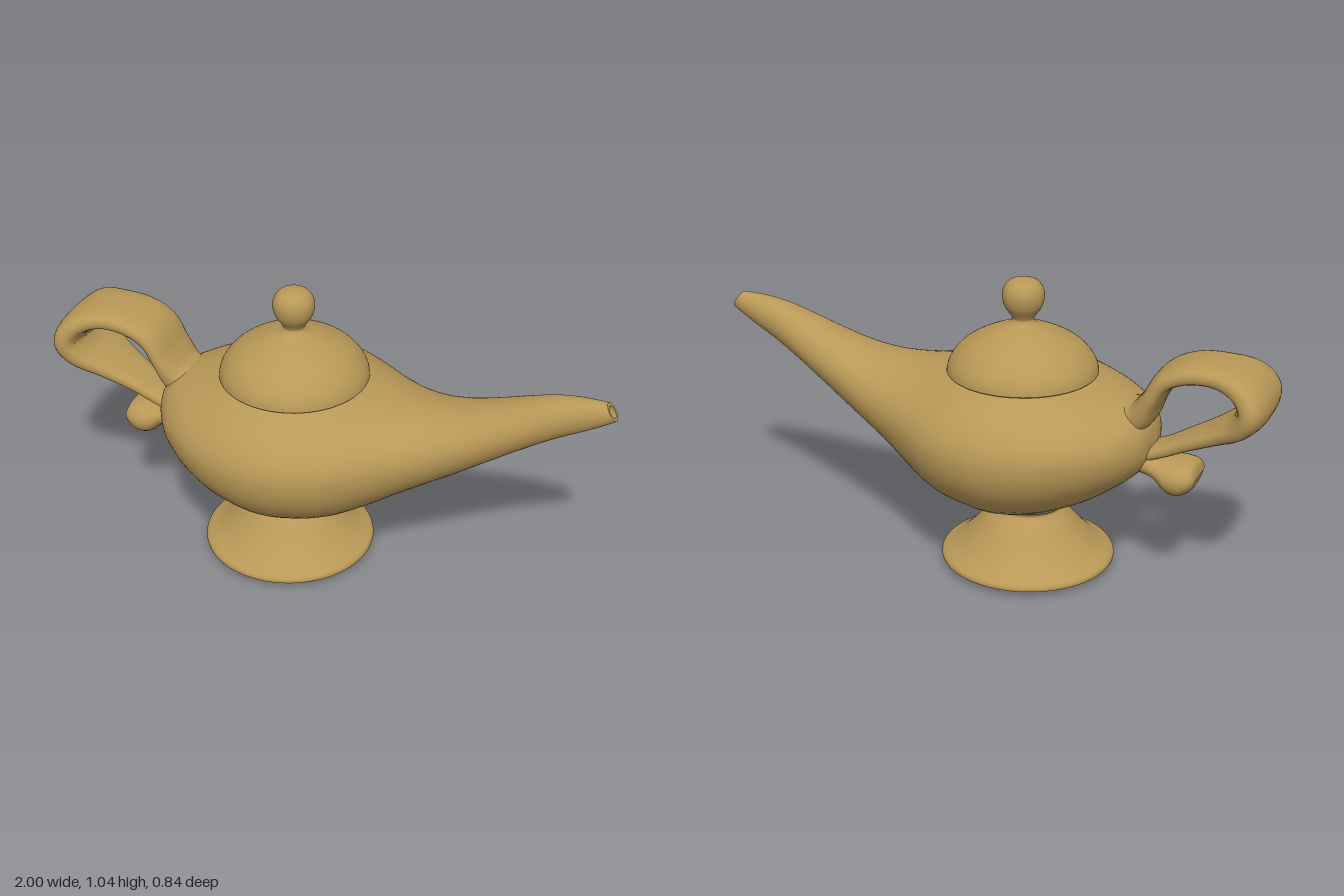
import * as THREE from 'three';

const brass = new THREE.MeshStandardMaterial({ color: 0xb99857 });
brass.name = 'brass';

// Smoothly resample rows of numbers, one spline per column
function resample(rows, steps) {
  const columns = rows[0].map((_, c) =>
    new THREE.SplineCurve(rows.map((r, i) => new THREE.Vector2(i, r[c]))));
  return Array.from({ length: steps + 1 }, (_, i) =>
    columns.map((curve) => curve.getPoint(i / steps).y));
}

// Skin a list of closed rings (equal point counts)
function loft(rings) {
  const n = rings[0].length;
  const index = [];
  for (let i = 0; i < rings.length - 1; i++) {
    for (let j = 0; j < n; j++) {
      const k = (j + 1) % n;
      const a = i * n + j, b = i * n + k, c = a + n, d = b + n;
      index.push(a, c, b, b, c, d);
    }
  }
  const geometry = new THREE.BufferGeometry().setFromPoints(rings.flat());
  geometry.setIndex(index);
  geometry.computeVertexNormals();
  return geometry;
}

function ring(n, pointAt) {
  return Array.from({ length: n }, (_, j) => {
    const a = (j / n) * Math.PI * 2;
    return pointAt(Math.cos(a), Math.sin(a));
  });
}

// Body section: x, bottom, widest height, top, half width, end slant
function bodyRing([x, bottom, mid, top, w, slant], scale = 1) {
  return ring(56, (c, s) => {
    const dy = scale * s * (s > 0 ? top - mid : mid - bottom);
    return new THREE.Vector3(x - slant * dy, mid + dy, scale * w * c);
  });
}

function latheFrom(points, detail) {
  const curve = new THREE.SplineCurve(points.map(([r, y]) => new THREE.Vector2(r, y)));
  const smooth = curve.getPoints(detail).map((p) => new THREE.Vector2(Math.max(p.x, 0), p.y));
  return new THREE.LatheGeometry(smooth, 64);
}

export function createModel() {
  const lamp = new THREE.Group();
  lamp.name = 'oilLamp';
  const add = (name, geometry, x = 0, y = 0) => {
    const mesh = new THREE.Mesh(geometry, brass);
    mesh.name = name;
    mesh.position.set(x, y, 0);
    lamp.add(mesh);
  };

  // Bowl flowing into the long spout
  const sections = [
    [-0.605, 0.529, 0.53, 0.531, 0.001, 0],
    [-0.59, 0.46, 0.53, 0.60, 0.10, 0],
    [-0.555, 0.415, 0.53, 0.64, 0.175, 0],
    [-0.50, 0.37, 0.53, 0.665, 0.25, 0],
    [-0.40, 0.305, 0.53, 0.70, 0.335, 0],
    [-0.27, 0.25, 0.52, 0.74, 0.395, 0],
    [-0.13, 0.22, 0.52, 0.755, 0.42, 0],
    [0.0, 0.235, 0.52, 0.745, 0.403, 0],
    [0.10, 0.26, 0.52, 0.72, 0.362, 0],
    [0.20, 0.305, 0.53, 0.703, 0.295, 0],
    [0.30, 0.365, 0.545, 0.699, 0.23, 0],
    [0.40, 0.425, 0.57, 0.706, 0.182, 0],
    [0.50, 0.485, 0.61, 0.728, 0.146, 0],
    [0.60, 0.55, 0.655, 0.762, 0.116, 0],
    [0.70, 0.615, 0.705, 0.798, 0.092, 0],
    [0.80, 0.68, 0.755, 0.828, 0.068, 0.1],
    [0.90, 0.74, 0.793, 0.842, 0.046, 0.4],
    [0.98, 0.787, 0.817, 0.845, 0.027, 0.65],
  ];
  add('bodyAndSpout', loft(resample(sections, 85).map((s) => bodyRing(s))));

  // Spout mouth: flat lip, then a small hollow
  const tip = sections[sections.length - 1];
  const deep = [tip[0] - 0.05, ...tip.slice(1).map((v, i) => (i < 3 ? v - 0.025 : v))];
  add('spoutLip', loft([bodyRing(tip), bodyRing(tip, 0.65)]));
  add('spoutHollow', loft([bodyRing(tip, 0.65), bodyRing(deep, 0.6)]));
  add('spoutHollowEnd', loft([bodyRing(deep, 0.6), bodyRing(deep, 0.001)]));

  // Flared foot
  add('foot', latheFrom([
    [0.303, 0.022], [0.304, 0.032], [0.295, 0.045], [0.25, 0.072], [0.20, 0.12],
    [0.155, 0.172], [0.125, 0.203], [0.12, 0.215], [0.13, 0.227], [0.17, 0.25],
  ], 40), -0.147);
  add('footUnderside', new THREE.LatheGeometry([
    new THREE.Vector2(0, 0), new THREE.Vector2(0.27, 0.009), new THREE.Vector2(0.303, 0.022),
  ], 64), -0.147);

  // Domed lid with round knob
  add('lidAndKnob', latheFrom([
    [0.259, 0.714], [0.253, 0.74], [0.236, 0.77], [0.205, 0.803], [0.16, 0.832],
    [0.10, 0.86], [0.055, 0.876], [0.037, 0.893], [0.043, 0.91], [0.062, 0.938],
    [0.071, 0.97], [0.068, 1.0], [0.052, 1.024], [0.028, 1.035], [0, 1.038],
  ], 70), -0.122);
  add('lidUnderside', new THREE.LatheGeometry([
    new THREE.Vector2(0, 0.708), new THREE.Vector2(0.254, 0.708), new THREE.Vector2(0.259, 0.714),
  ], 64), -0.122);

  // Strap handle: centre x, centre y, half thickness, half width
  const strap = resample([
    [-0.48, 0.60, 0.06, 0.09],
    [-0.55, 0.625, 0.05, 0.105],
    [-0.592, 0.69, 0.036, 0.115],
    [-0.64, 0.77, 0.035, 0.118],
    [-0.72, 0.809, 0.036, 0.118],
    [-0.82, 0.814, 0.037, 0.122],
    [-0.905, 0.787, 0.045, 0.15],
    [-0.945, 0.725, 0.052, 0.168],
    [-0.905, 0.66, 0.042, 0.152],
    [-0.82, 0.607, 0.032, 0.11],
    [-0.72, 0.556, 0.028, 0.08],
    [-0.64, 0.515, 0.025, 0.07],
    [-0.56, 0.485, 0.025, 0.07],
  ], 84);
  const strapRings = strap.map(([x, y, t, w], i) => {
    const p = strap[Math.max(i - 1, 0)];
    const q = strap[Math.min(i + 1, strap.length - 1)];
    const tangent = new THREE.Vector2(q[0] - p[0], q[1] - p[1]).normalize();
    return ring(28, (c, s) => {
      const h = t * Math.sign(s) * Math.abs(s) ** 0.75;
      const z = w * Math.sign(c) * Math.abs(c) ** 0.75;
      return new THREE.Vector3(x - tangent.y * h, y + tangent.x * h, z);
    });
  });
  add('handle', loft(strapRings));

  // Curled end of the handle, resting against the bowl
  const curl = resample([
    [-0.758, 0.43, 0.002, 0.06],
    [-0.745, 0.43, 0.04, 0.085],
    [-0.705, 0.422, 0.06, 0.10],
    [-0.66, 0.425, 0.057, 0.095],
    [-0.61, 0.45, 0.04, 0.08],
    [-0.54, 0.475, 0.05, 0.08],
  ], 30);
  add('handleCurl', loft(curl.map(([x, y, h, w]) => ring(28, (c, s) =>
    new THREE.Vector3(x, y + h * s, w * Math.sign(c) * Math.abs(c) ** 0.75)))));

  return lamp;
}
